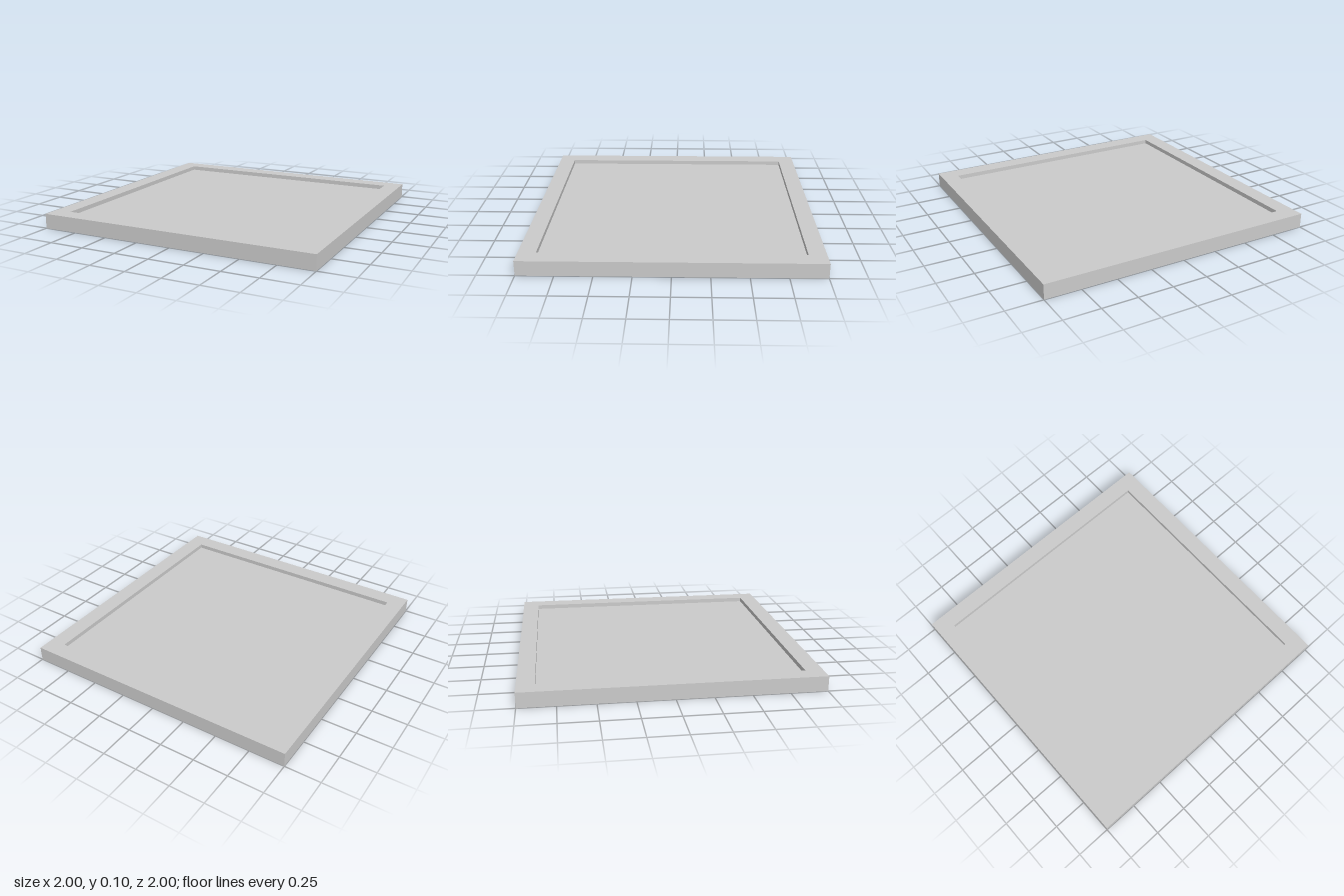
import * as THREE from 'three';

const OUTER = 1, INNER = 0.88, HEIGHT = 0.104;
const PANEL_BOTTOM = 0.063, PANEL_TOP = 0.073;

// Traces a square of the given half width
function square(path, h) {
  path.moveTo(-h, -h);
  path.lineTo(h, -h);
  path.lineTo(h, h);
  path.lineTo(-h, h);
  path.closePath();
  return path;
}

export function createModel() {
  const model = new THREE.Group();
  const material = new THREE.MeshStandardMaterial({ color: 0xcccccc });

  // Square frame with an open centre
  const outline = square(new THREE.Shape(), OUTER);
  outline.holes.push(square(new THREE.Path(), INNER));
  const frameGeometry = new THREE.ExtrudeGeometry(outline, { depth: HEIGHT, bevelEnabled: false });
  frameGeometry.rotateX(-Math.PI / 2);
  const frame = new THREE.Mesh(frameGeometry, material);
  frame.name = 'frame';
  model.add(frame);

  // Thin panel, recessed from both faces of the frame
  const panel = new THREE.Mesh(
    new THREE.BoxGeometry(INNER * 2, PANEL_TOP - PANEL_BOTTOM, INNER * 2), material);
  panel.position.y = (PANEL_TOP + PANEL_BOTTOM) / 2;
  panel.name = 'panel';
  model.add(panel);

  return model;
}
